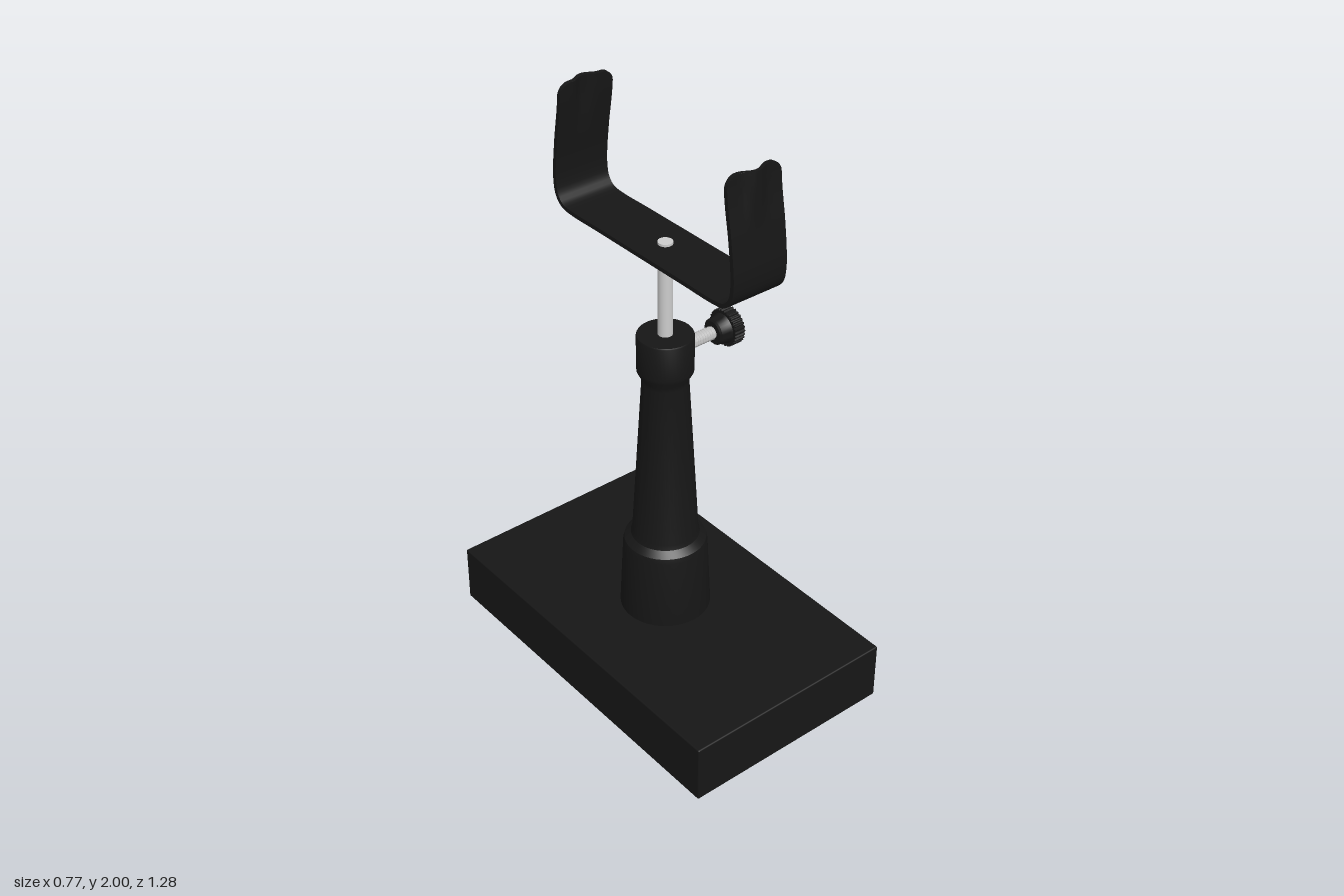
import * as THREE from 'three';
import { toCreasedNormals } from 'three/addons/utils/BufferGeometryUtils.js';
import { RoundedBoxGeometry } from 'three/addons/geometries/RoundedBoxGeometry.js';

const black = new THREE.MeshStandardMaterial({ color: 0x161616 });
const steel = new THREE.MeshStandardMaterial({ color: 0xcccccc });

function add(parent, name, geometry, material) {
  const mesh = new THREE.Mesh(geometry, material);
  mesh.name = name;
  parent.add(mesh);
  return mesh;
}

// Turned part from [radius, height] pairs, sharp at hard corners
function turned(points, segments = 48) {
  const profile = points.map(([r, y]) => new THREE.Vector2(r, y));
  return toCreasedNormals(new THREE.LatheGeometry(profile, segments), 0.5);
}

// Bent strip: a subdivided box laid along a U-shaped path in the z-y plane
function cradleGeometry() {
  const half = [[0.34, 1.585], [0.385, 1.592], [0.412, 1.62], [0.421, 1.67], [0.418, 1.73], [0.408, 1.81], [0.397, 1.9], [0.389, 2]];
  const points = [
    ...half.slice().reverse().map(([z, y]) => new THREE.Vector3(0, y, -z)),
    new THREE.Vector3(0, 1.585, -0.2),
    new THREE.Vector3(0, 1.585, 0.2),
    ...half.map(([z, y]) => new THREE.Vector3(0, y, z)),
  ];
  const path = new THREE.CatmullRomCurve3(points, false, 'centripetal');
  path.arcLengthDivisions = 600;
  const length = path.getLength();
  const corner = 0.04;
  const geometry = new THREE.BoxGeometry(0.2, 0.014, 1, 24, 1, 140);
  const pos = geometry.attributes.position;
  for (let i = 0; i < pos.count; i++) {
    const t = THREE.MathUtils.clamp(0.5 + 0.5 * Math.sin(Math.PI * pos.getZ(i)), 0, 1);
    const p = path.getPointAt(t);
    const d = path.getTangentAt(t);
    // rounded corners at both free ends
    const k = Math.max(0, 1 - Math.min(t, 1 - t) * length / corner);
    const x = pos.getX(i) * (0.1 - corner * (1 - Math.sqrt(1 - k * k))) / 0.1;
    // shallow groove down the middle of each arm, deepest at the tip
    const fade = THREE.MathUtils.smoothstep(p.y, 1.8, 1.97);
    const wave = 0.5 + 0.5 * Math.cos(Math.PI * Math.min(1, Math.abs(x) / 0.055));
    const groove = fade * (0.02 * wave - 0.007) * Math.sign(p.z);
    const h = pos.getY(i);
    pos.setXYZ(i, x, p.y + h * d.z, p.z - h * d.y + groove);
  }
  return toCreasedNormals(geometry, 0.6);
}

// Knurled disc, extruded along z
function knurledDisc(radius, depth, teeth) {
  const shape = new THREE.Shape();
  for (let i = 0; i < teeth * 4; i++) {
    const a = i / (teeth * 4) * Math.PI * 2;
    const r = i % 4 < 2 ? radius : radius * 0.93;
    shape[i ? 'lineTo' : 'moveTo'](r * Math.cos(a), r * Math.sin(a));
  }
  shape.closePath();
  return new THREE.ExtrudeGeometry(shape, { depth, bevelEnabled: false });
}

export function createModel() {
  const model = new THREE.Group();
  model.name = 'cradleStand';

  // Heavy base block
  add(model, 'base', new RoundedBoxGeometry(0.77, 0.21, 1.28, 2, 0.005), black).position.y = 0.105;

  // Tapered column with stepped foot and collar
  add(model, 'column', turned([
    [0, 0.2], [0.153, 0.2], [0.153, 0.21], [0.141, 0.465], [0.137, 0.482], [0.115, 0.502], [0.11, 0.52],
    [0.076, 1.1], [0.077, 1.115], [0.091, 1.14], [0.092, 1.15], [0.092, 1.268], [0.09, 1.272], [0.025, 1.272], [0, 1.272],
  ]), black);

  // Sliding rod
  add(model, 'rod', new THREE.CylinderGeometry(0.024, 0.024, 0.4, 32), steel).position.y = 1.4;

  // U-shaped cradle
  add(model, 'cradle', cradleGeometry(), black);

  // Clamp screw on the collar
  const screw = new THREE.Group();
  screw.name = 'clampScrew';
  screw.position.y = 1.2;
  screw.rotation.z = -Math.PI / 2;
  model.add(screw);

  const thread = [[0, 0.06]];
  for (let i = 0; i < 14; i++) thread.push([0.018, 0.06 + i * 0.01], [0.023, 0.065 + i * 0.01]);
  thread.push([0, 0.2]);
  add(screw, 'thread', turned(thread, 24), steel);

  add(screw, 'knobHub', turned([
    [0, 0.192], [0.038, 0.192], [0.044, 0.197], [0.047, 0.225], [0.052, 0.237], [0, 0.237],
  ], 32), black);

  const grip = add(screw, 'knobGrip', knurledDisc(0.064, 0.04, 30), black);
  grip.rotation.x = -Math.PI / 2;
  grip.position.y = 0.235;

  return model;
}
